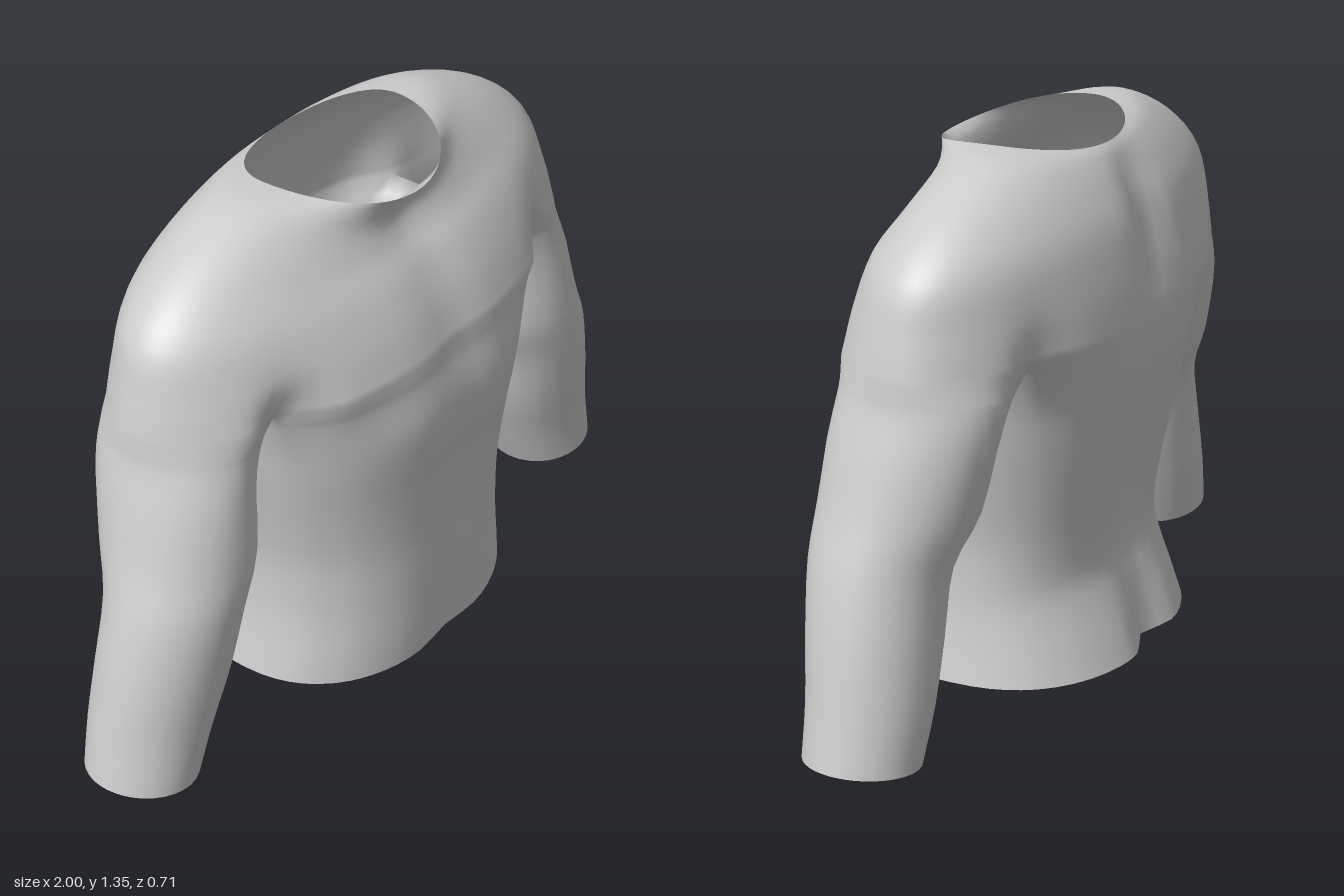
import * as THREE from 'three';
import { mergeVertices } from 'three/addons/utils/BufferGeometryUtils.js';

const HALF = 48;              // steps from front centre round to back centre
const PIT_F = 11, PIT_B = 37; // ring steps at the front and back of the armpit
const BRIDGE = 10;            // steps across the armpit

// Smoothly subdivide rows of section parameters
function refine(rows, steps) {
  const out = [];
  for (let i = 0; i < rows.length - 1; i++) {
    const [a, b, c, d] = [rows[Math.max(i - 1, 0)], rows[i], rows[i + 1], rows[Math.min(i + 2, rows.length - 1)]];
    for (let s = 0; s < steps; s++) {
      const t = s / steps;
      out.push(b.map((v, k) => v + 0.5 * t * (c[k] - a[k]
        + t * (2 * a[k] - 5 * v + 4 * c[k] - d[k] + t * (3 * (v - c[k]) + d[k] - a[k])))));
    }
  }
  out.push(rows[rows.length - 1]);
  return out;
}

const bump = (d, width) => Math.exp(-((d / width) ** 2));
const power = (v, e) => Math.sign(v) * Math.abs(v) ** e;

// Chest and spine hollows along the centre line
const hollow = (x, c, groove) => (c > 0 ? -0.018 * bump(x, 0.09) : groove * bump(x, 0.075));

// Yoke half ring: front, side and back heights, half width, middle, front and back depth
function yokeRing([yF, yS, yB, w, zc, zf, zb, pinch, groove]) {
  const ring = [];
  for (let i = 0; i <= HALF; i++) {
    const t = (i / HALF) * Math.PI, c = Math.cos(t);
    const x = i % HALF ? w * Math.sin(t) : 0;
    const y = yS + ((c > 0 ? yF : yB) - yS) * c * c;
    let z = zc + (c > 0 ? (zf - zc) * c : (zc - zb) * c);
    z += groove ? hollow(x, c, groove) : 0;
    z -= pinch * bump(x - 0.51, 0.07) * (c > 0 ? 0.075 : -0.035);
    ring.push(new THREE.Vector3(x, y, z));
  }
  return ring;
}

// Triangles of a grid of rings running downwards
function skin(rings, closed, mirror) {
  const out = [], n = rings[0].length;
  const put = (p) => out.push(mirror ? -p.x : p.x, p.y, p.z);
  for (let r = 0; r < rings.length - 1; r++) {
    for (let i = 0; i < (closed ? n : n - 1); i++) {
      const j = (i + 1) % n;
      const [a, b, c, d] = [rings[r][i], rings[r][j], rings[r + 1][i], rings[r + 1][j]];
      (mirror ? [a, d, c, a, b, d] : [a, c, d, a, d, b]).forEach(put);
    }
  }
  return out;
}

export function createModel() {
  const fabric = new THREE.MeshStandardMaterial({ color: 0xcccccc, side: THREE.DoubleSide });
  fabric.name = 'light grey fabric';

  // Collar, shoulders and upper chest
  const yoke = refine([
    [1.305, 1.355, 1.325, 0.26, -0.05, 0.21, -0.215, 0, 0],
    [1.24, 1.343, 1.305, 0.39, -0.06, 0.182, -0.238, 0, 0.005],
    [1.185, 1.26, 1.255, 0.585, -0.05, 0.2, -0.275, 0, 0.02],
    [1.12, 1.155, 1.17, 0.715, -0.04, 0.25, -0.32, 0, 0.035],
    [1.03, 1.03, 1.04, 0.757, -0.03, 0.3, -0.352, 0.2, 0.04],
    [0.93, 0.93, 0.93, 0.78, -0.03, 0.338, -0.365, 1, 0.04],
  ], 4).map(yokeRing);

  // Armpit bridge, shared by the trunk and the sleeve
  const seam = yoke[yoke.length - 1];
  const bridge = [];
  for (let i = 1; i < BRIDGE; i++) bridge.push(seam[PIT_F].clone().lerp(seam[PIT_B], i / BRIDGE));
  const trunkSeam = [...seam.slice(0, PIT_F + 1), ...bridge, ...seam.slice(PIT_B)];
  const sleeveSeam = [...seam.slice(PIT_F, PIT_B + 1), ...bridge.slice().reverse()];

  // Ease each section away from the seam outline
  const ease = (p, s, y) => {
    const b = Math.max(0, (y - 0.72) / 0.21) ** 2;
    p.x += (s.x - p.x) * b;
    p.z += (s.z - p.z) * b;
    return p;
  };

  // Trunk: height, half width, front, back, spine depth
  const trunk = refine([
    [0.89, 0.5, 0.345, -0.363, 0.04],
    [0.8, 0.49, 0.362, -0.358, 0.04],
    [0.7, 0.475, 0.36, -0.343, 0.04],
    [0.55, 0.445, 0.343, -0.315, 0.035],
    [0.4, 0.418, 0.333, -0.287, 0.025],
    [0.28, 0.415, 0.333, -0.275, 0.015],
    [0.2, 0.42, 0.333, -0.298, 0.02],
    [0.12, 0.433, 0.333, -0.33, 0.035],
    [0.035, 0.45, 0.33, -0.36, 0.05],
  ], 3).map(([y, w, zf, zb, groove]) => trunkSeam.map((s) => {
    const t = Math.atan2(s.x / 0.5, s.z / 0.34), c = Math.cos(t);
    const x = s.x === 0 ? 0 : w * power(Math.sin(t), 0.85);
    const z = power(c, 0.85) * (c > 0 ? zf : -zb) + hollow(x, c, groove);
    const dip = c > 0 ? 0.015 * c * c * Math.max(0, 1 - y / 0.2) : 0;
    return ease(new THREE.Vector3(x, y - dip, z), s, y);
  }));

  // Sleeve: centre height, centre x, half width, tilt, front, back
  const sleeve = refine([
    [0.88, 0.64, 0.15, 0.03, 0.18, -0.235],
    [0.8, 0.65, 0.157, 0.06, 0.188, -0.225],
    [0.6, 0.68, 0.175, 0.12, 0.205, -0.185],
    [0.47, 0.73, 0.167, 0.15, 0.205, -0.135],
    [0.3, 0.775, 0.168, 0.15, 0.19, -0.13],
    [0.15, 0.82, 0.153, 0.15, 0.172, -0.13],
    [0.02, 0.8625, 0.1375, 0.145, 0.165, -0.12],
  ], 3).map(([y, cx, rx, tilt, zf, zb]) => sleeveSeam.map((s) => {
    const t = Math.atan2((s.x - 0.635) / 0.145, (s.z + 0.03) / 0.2);
    const dx = rx * Math.sin(t);
    const z = (zf + zb) / 2 + ((zf - zb) / 2) * Math.cos(t);
    return ease(new THREE.Vector3(cx + dx, y + dx * tilt, z), s, y);
  }));

  // Weld everything so shading runs smoothly across the seams
  const parts = [['body', []], ['leftSleeve', []], ['rightSleeve', []]];
  for (const mirror of [false, true]) {
    parts[0][1].push(...skin(yoke, false, mirror), ...skin([trunkSeam, ...trunk], false, mirror));
    parts[mirror ? 2 : 1][1].push(...skin([sleeveSeam, ...sleeve], true, mirror));
  }
  const raw = new THREE.BufferGeometry();
  raw.setAttribute('position', new THREE.Float32BufferAttribute(parts.flatMap((p) => p[1]), 3));
  const whole = mergeVertices(raw, 1e-4);
  whole.computeVertexNormals();

  const model = new THREE.Group();
  model.name = 'longSleevedTop';
  const index = Array.from(whole.index.array);
  let start = 0;
  for (const [name, points] of parts) {
    const geometry = new THREE.BufferGeometry();
    geometry.setAttribute('position', whole.attributes.position);
    geometry.setAttribute('normal', whole.attributes.normal);
    geometry.setIndex(index.slice(start, start + points.length / 3));
    start += points.length / 3;
    const mesh = new THREE.Mesh(geometry, fabric);
    mesh.name = name;
    model.add(mesh);
  }
  return model;
}
